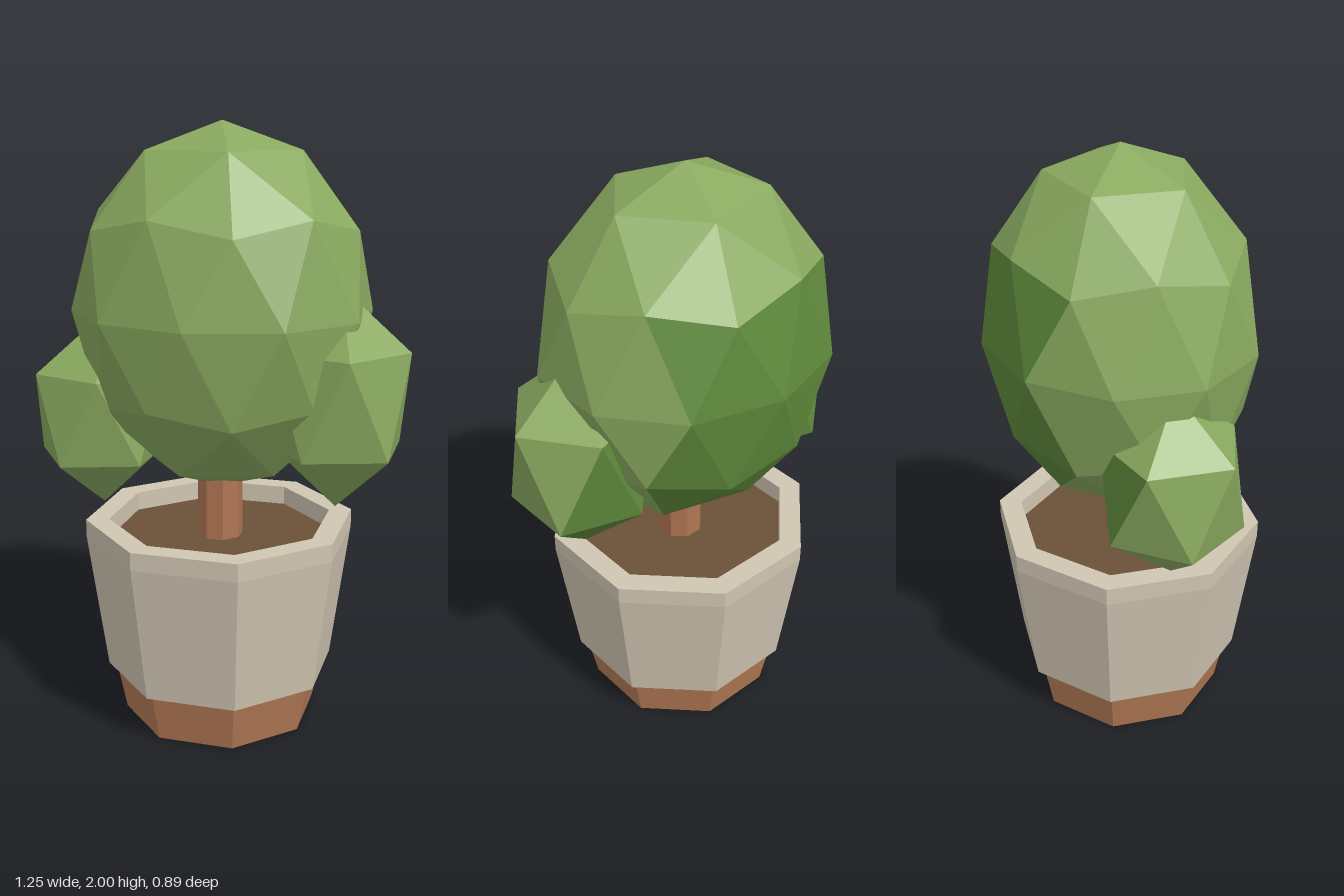
import * as THREE from 'three';

const mat = (name, color) => {
  const m = new THREE.MeshStandardMaterial({ color, flatShading: true });
  m.name = name;
  return m;
};

export function createModel() {
  const leafLight = mat('light leaf green', 0x89a95f);
  const leafDark = mat('dark leaf green', 0x5f8a3c);
  const stone = mat('pale stone', 0xd0c5b2);
  const clay = mat('clay', 0xb37a55);
  const bark = mat('bark', 0xb07552);
  const soilBrown = mat('soil brown', 0x6b5038);

  const group = new THREE.Group();
  const add = (name, geometry, material) => {
    const mesh = new THREE.Mesh(geometry, material);
    mesh.name = name;
    group.add(mesh);
    return mesh;
  };

  // Eight-sided parts, sized across the flats, share one axis
  const AXIS = [-0.007, 0.024];
  const K = 1 / Math.cos(Math.PI / 8);
  const octagon = (name, rTop, rBottom, y0, y1, material) => {
    const g = new THREE.CylinderGeometry(rTop * K, rBottom * K, y1 - y0, 8);
    g.rotateY(Math.PI / 8).translate(AXIS[0], (y0 + y1) / 2, AXIS[1]);
    return add(name, g, material);
  };

  octagon('potBase', 0.34, 0.305, 0, 0.19, clay);
  octagon('soil', 0.35, 0.35, 0.6, 0.635, soilBrown);
  octagon('trunk', 0.07, 0.07, 0.62, 0.95, bark);

  // Pot sleeve with an upright rim and a hollow top
  const profile = [[0.325, 0.17], [0.36, 0.17], [0.42, 0.64], [0.42, 0.7], [0.348, 0.7], [0.348, 0.61]]
    .map(([r, y]) => new THREE.Vector2(r * K, y));
  const sleeve = new THREE.LatheGeometry(profile, 8, Math.PI / 8);
  sleeve.translate(AXIS[0], 0, AXIS[1]);
  add('potSleeve', sleeve, stone);

  // Leaf ball: icosphere standing on a corner, back faces in the darker green
  const leafBall = (name, detail, centre, radii) => {
    const g = new THREE.IcosahedronGeometry(1, detail);
    g.rotateZ(-Math.atan2(2, 1 + Math.sqrt(5)));
    const p = g.attributes.position;
    const tri = new THREE.Triangle();
    const n = new THREE.Vector3();
    for (let i = 0; i < p.count; i += 3) {
      tri.setFromAttributeAndIndices(p, i, i + 1, i + 2).getNormal(n);
      const isBack = n.z < -Math.abs(n.x) && n.y < 0.5;
      g.addGroup(i, 3, isBack ? 1 : 0);
    }
    g.scale(...radii).translate(...centre);
    g.computeVertexNormals();
    add(name, g, [leafLight, leafDark]);
  };

  leafBall('mainFoliage', 1, [-0.007, 1.4, 0], [0.4975, 0.6, 0.445]);
  leafBall('leftFoliage', 0, [0.39, 1.137, 0.045], [0.257, 0.363, 0.25]);
  leafBall('rightFoliage', 0, [-0.41, 1.047, 0.065], [0.246, 0.322, 0.252]);

  return group;
}
